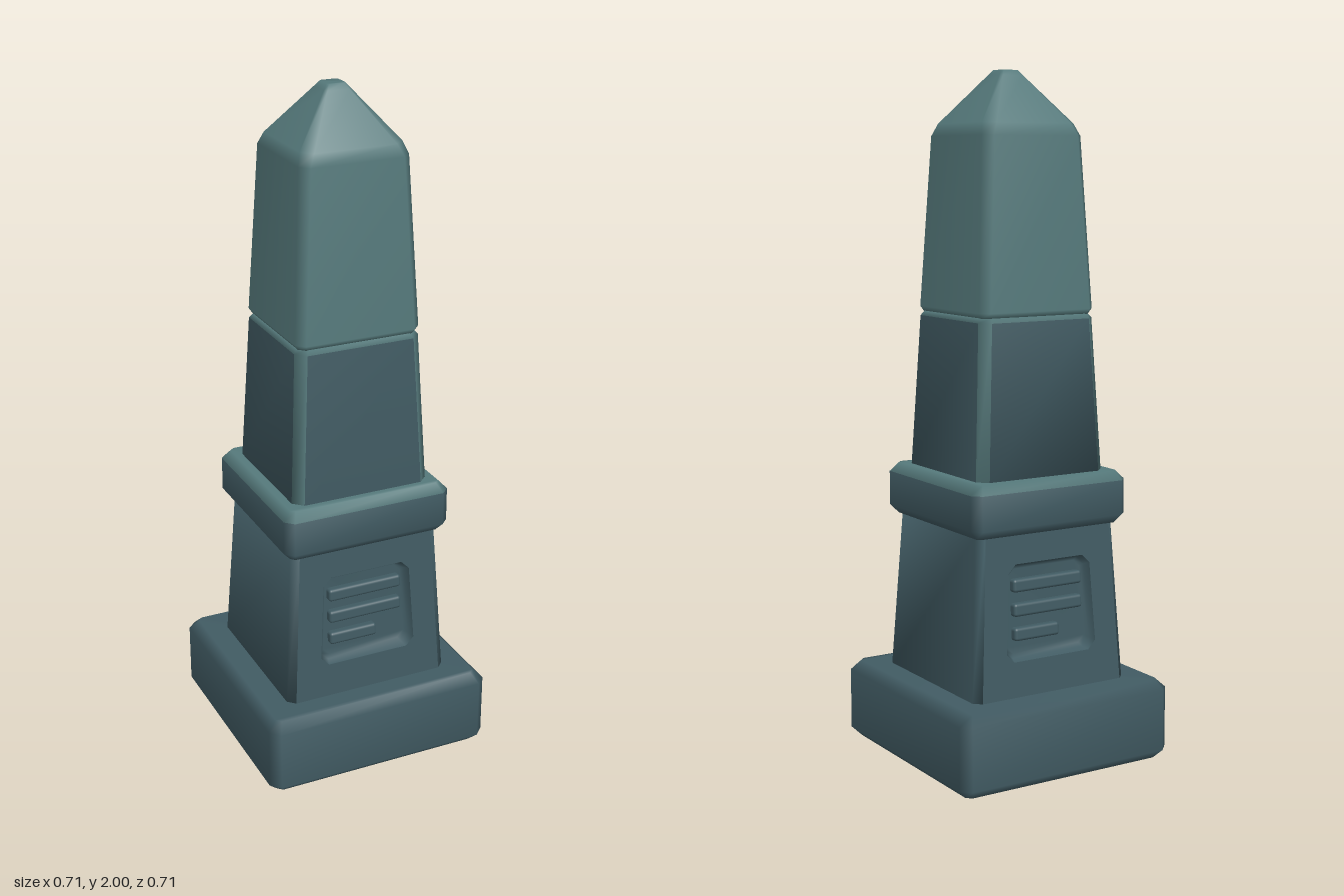
import * as THREE from 'three';
import { RoundedBoxGeometry } from 'three/addons/geometries/RoundedBoxGeometry.js';

// Rectangle with cut corners, counter-clockwise; taper narrows it towards +y
function octagon(w, h, c, taper = 0) {
  return [[w, c - h], [w, h - c], [w - c, h], [c - w, h],
    [-w, h - c], [-w, c - h], [c - w, -h], [w - c, -h]]
    .map(([x, y]) => new THREE.Vector2(x * (1 - taper * y), y));
}

// Skin over octagon rings stacked along z; pick(band, side) gives a material index, or -1 to leave a gap
function skin(rings, pick, startCap, endCap) {
  const pos = [], faces = [[], []];
  for (const { z, pts } of rings) for (const p of pts) pos.push(p.x, p.y, z);
  for (let i = 0; i < rings.length - 1; i++) {
    for (let j = 0; j < 8; j++) {
      const m = pick(i, j);
      if (m < 0) continue;
      const k = (j + 1) % 8;
      const a = i * 8 + j, b = i * 8 + k, c = b + 8, d = a + 8;
      faces[m].push(a, b, c, a, c, d);
    }
  }
  const last = (rings.length - 1) * 8;
  for (let j = 1; j < 7; j++) {
    if (startCap >= 0) faces[startCap].push(0, j + 1, j);
    if (endCap >= 0) faces[endCap].push(last, last + j, last + j + 1);
  }
  const geo = new THREE.BufferGeometry();
  geo.setAttribute('position', new THREE.Float32BufferAttribute(pos, 3));
  geo.setIndex([...faces[0], ...faces[1]]);
  geo.addGroup(0, faces[0].length, 0);
  geo.addGroup(faces[0].length, faces[1].length, 1);
  geo.computeVertexNormals();
  return geo;
}

export function createModel() {
  const model = new THREE.Group();
  const dark = new THREE.MeshStandardMaterial({ color: 0x415b63 });
  dark.name = 'dark slate';
  const light = new THREE.MeshStandardMaterial({ color: 0x55797b });
  light.name = 'light slate';
  const mats = [dark, light];

  // Square block from a profile of [height, half width, corner cut]
  function block(name, profile, pick, startCap = 0, endCap = 0) {
    const rings = profile.map(([z, w, c]) => ({ z, pts: octagon(w, w, c) }));
    const geo = skin(rings, pick, startCap, endCap).rotateX(-Math.PI / 2);
    const mesh = new THREE.Mesh(geo, mats);
    mesh.name = name;
    model.add(mesh);
  }

  block('base', [[0, 0.325, 0.015], [0.028, 0.353, 0.028],
    [0.21, 0.353, 0.028], [0.238, 0.325, 0.015]], () => 0);

  // Pedestal sides; the front and back faces are added below
  const y0 = 0.23, y1 = 0.71, w0 = 0.258, w1 = 0.231, cut = 0.022;
  block('pedestal', [[y0, w0, cut], [y1, w1, cut]],
    (i, j) => (j === 2 || j === 6 ? -1 : 0));

  block('collar', [[0.703, 0.236, 0.012], [0.729, 0.26, 0.025],
    [0.83, 0.26, 0.025], [0.856, 0.236, 0.014]],
  (i) => (i === 2 ? 1 : 0), 0, 1);

  // Lower shaft has pale worn corners and rim
  block('lowerShaft', [[0.85, 0.213, 0.028], [1.298, 0.191, 0.028], [1.312, 0.18, 0.024]],
    (i, j) => (i === 1 || j % 2 === 1 ? 1 : 0), 0, 1);

  block('upperShaft', [[1.31, 0.18, 0.018], [1.325, 0.19, 0.024], [1.815, 0.165, 0.026],
    [1.85, 0.152, 0.03], [1.985, 0.04, 0.008], [2, 0.028, 0.006]], () => 1, 1, 1);

  // Front and back faces, each with a sunken inscription panel
  const tilt = Math.atan((w0 - w1) / (y1 - y0));
  const halfH = (y1 - y0) / 2 / Math.cos(tilt);
  const panelY = 0.01, depth = 0.03;
  for (const back of [false, true]) {
    const side = new THREE.Group();
    side.name = back ? 'backFace' : 'frontFace';
    const face = new THREE.Group();
    face.position.set(0, (y0 + y1) / 2, (w0 + w1) / 2);
    face.rotation.x = -tilt;
    side.add(face);
    if (back) side.rotation.y = Math.PI;

    const rim = octagon(0.145, 0.14, 0.025, 0.4);
    const outline = new THREE.Shape([
      new THREE.Vector2(cut - w0, -halfH), new THREE.Vector2(w0 - cut, -halfH),
      new THREE.Vector2(w1 - cut, halfH), new THREE.Vector2(cut - w1, halfH)]);
    outline.holes.push(new THREE.Path(
      rim.map((p) => new THREE.Vector2(p.x, p.y + panelY)).reverse()));
    const wall = new THREE.Mesh(new THREE.ShapeGeometry(outline), dark);
    wall.name = 'facePlate';
    face.add(wall);

    const recess = new THREE.Mesh(skin([
      { z: 0, pts: rim },
      { z: -depth * 0.7, pts: octagon(0.138, 0.133, 0.024, 0.4) },
      { z: -depth, pts: octagon(0.127, 0.122, 0.02, 0.4) }], () => 0, -1, 0), mats);
    recess.name = 'panelRecess';
    recess.position.y = panelY;
    face.add(recess);

    // Raised bars, the last one short
    [0.232, 0.232, 0.15].forEach((len, i) => {
      const bar = new THREE.Mesh(new RoundedBoxGeometry(len, 0.038, 0.032, 3, 0.009), dark);
      bar.name = 'inscriptionBar';
      bar.position.set(-0.116 + len / 2, 0.085 - i * 0.07, -depth + 0.006);
      face.add(bar);
    });
    model.add(side);
  }
  return model;
}
